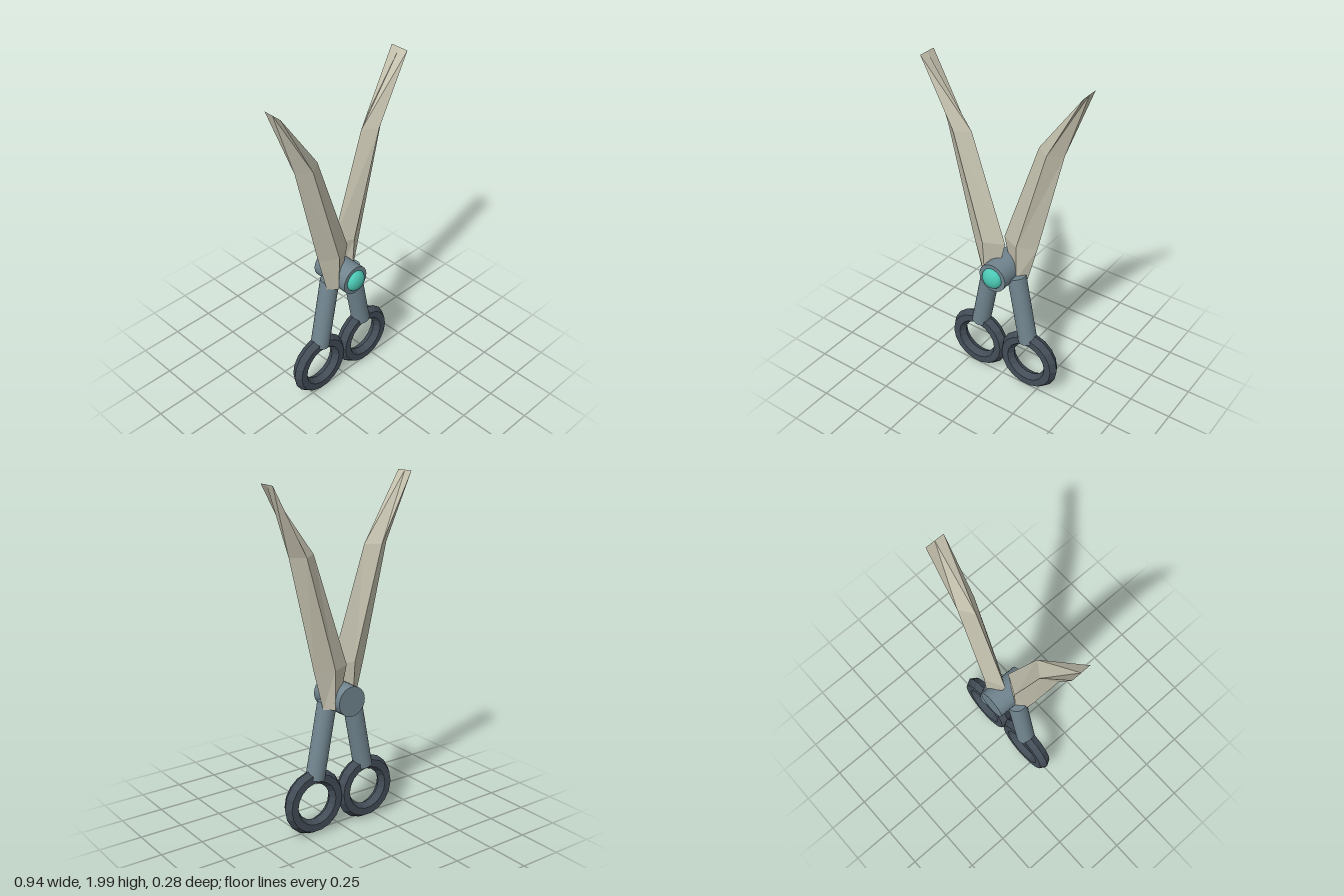
import * as THREE from 'three';

const steel = new THREE.MeshStandardMaterial({ color: 0xc6c3b0, flatShading: true });
steel.name = 'pale steel';
const metal = new THREE.MeshStandardMaterial({ color: 0x71858f });
metal.name = 'blue grey metal';
const grip = new THREE.MeshStandardMaterial({ color: 0x434d57, flatShading: true });
grip.name = 'dark grip';
const jewel = new THREE.MeshStandardMaterial({ color: 0x4cc8b4 });
jewel.name = 'turquoise';

// Diamond cross-sections of a blade: y, inner x, ridge x, outer x, half thickness
const sections = [
  [0.75, 0.03, 0.085, 0.135, 0.045],
  [0.98, -0.025, 0.09, 0.195, 0.055],
  [1.62, 0.19, 0.27, 0.345, 0.055],
  [2.0, 0.468, 0.468, 0.468, 0.055],
];

function bladeGeometry(side) {
  const positions = [];
  for (const [y, inner, ridge, outer, t] of sections) {
    positions.push(side * inner, y, 0, side * ridge, y, t, side * outer, y, 0, side * ridge, y, -t);
  }
  const index = [];
  const tri = (a, b, c) => (side > 0 ? index.push(a, b, c) : index.push(a, c, b));
  for (let s = 0; s < sections.length - 1; s++) {
    for (let i = 0; i < 4; i++) {
      const a = s * 4 + i, b = s * 4 + ((i + 1) % 4);
      tri(a, b, b + 4);
      tri(a, b + 4, a + 4);
    }
  }
  tri(0, 2, 1);
  tri(0, 3, 2);
  const geometry = new THREE.BufferGeometry();
  geometry.setAttribute('position', new THREE.Float32BufferAttribute(positions, 3));
  geometry.setIndex(index);
  const flat = geometry.toNonIndexed();
  flat.computeVertexNormals();
  return flat;
}

// Cylinder between two points
function rod(from, to, radius, material) {
  const dir = new THREE.Vector3().subVectors(to, from);
  const mesh = new THREE.Mesh(new THREE.CylinderGeometry(radius, radius, dir.length(), 24), material);
  mesh.position.addVectors(from, to).multiplyScalar(0.5);
  mesh.quaternion.setFromUnitVectors(new THREE.Vector3(0, 1, 0), dir.normalize());
  return mesh;
}

export function createModel() {
  const model = new THREE.Group();
  model.name = 'scissors';
  const add = (mesh, name) => {
    mesh.name = name;
    model.add(mesh);
    return mesh;
  };

  for (const side of [1, -1]) {
    const label = side > 0 ? 'left' : 'right';

    // Blades lie one behind the other
    const blade = add(new THREE.Mesh(bladeGeometry(side), steel), label + 'Blade');
    blade.position.z = side > 0 ? -0.055 : 0.01;

    // Shank and finger ring
    add(rod(new THREE.Vector3(side * 0.083, 0.777, -0.02),
      new THREE.Vector3(side * 0.168, 0.338, -0.02), 0.055, metal), label + 'Shank');
    const ring = add(new THREE.Mesh(new THREE.TorusGeometry(0.15, 0.043, 6, 18), grip), label + 'FingerRing');
    ring.position.set(side * 0.178, 0.2, -0.02);
  }

  // Pivot barrel with a domed jewel on the front
  add(rod(new THREE.Vector3(0, 0.793, -0.14), new THREE.Vector3(0, 0.793, 0.1), 0.087, metal), 'pivot');
  const gem = add(new THREE.Mesh(new THREE.SphereGeometry(1, 24, 16), jewel), 'pivotJewel');
  gem.scale.set(0.063, 0.063, 0.038);
  gem.position.set(0, 0.793, 0.1);

  return model;
}
